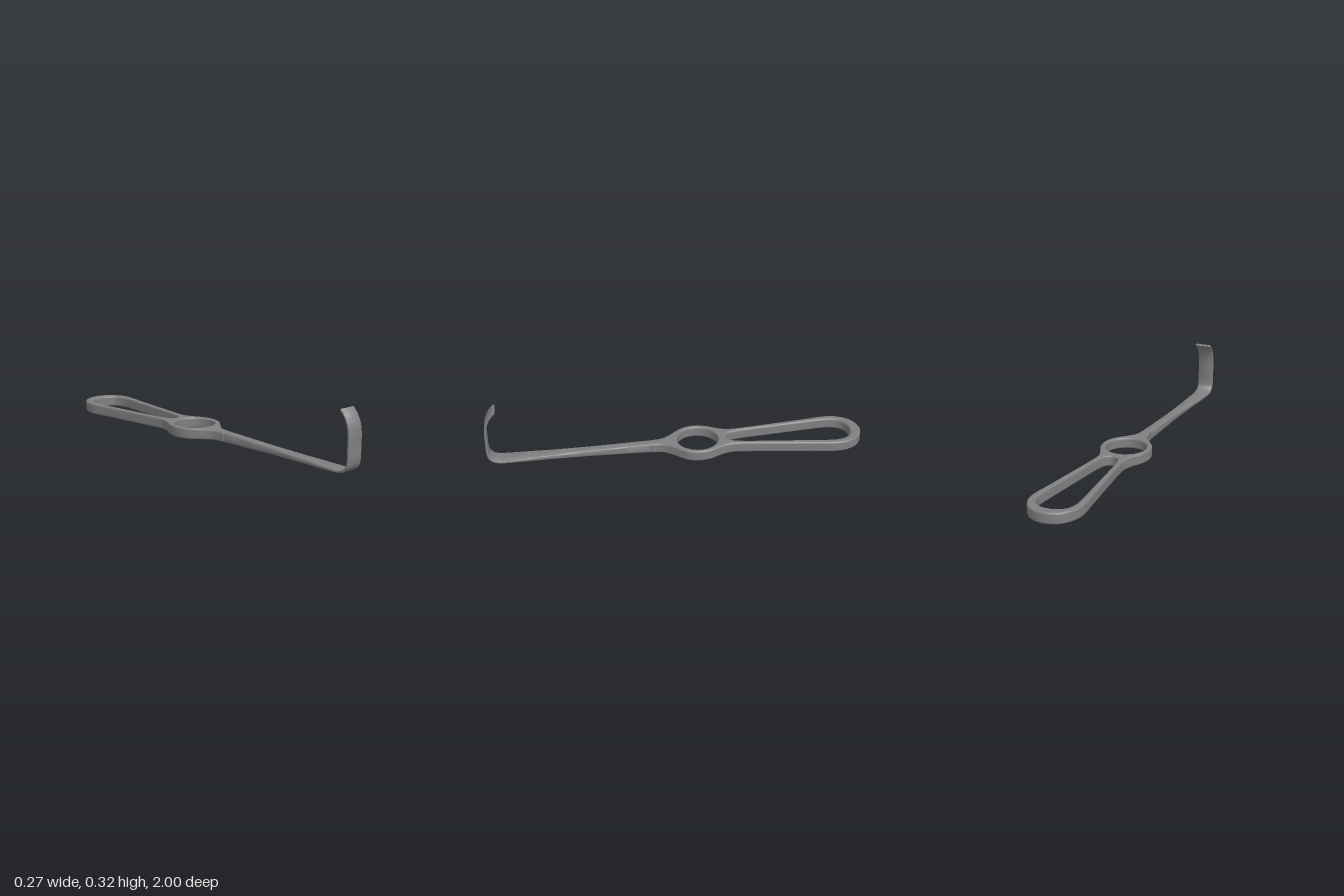
import * as THREE from 'three';
import { mergeVertices, toCreasedNormals } from 'three/addons/utils/BufferGeometryUtils.js';

// Dark steel
const material = new THREE.MeshStandardMaterial({ color: 0x808080 });

// Mirrors a right-hand half outline and smooths it into a symmetric contour
function outline(half, closed, count) {
  const left = half.filter(([x]) => x > 0).reverse().map(([x, y]) => [-x, y]);
  const points = [...half, ...left].map(([x, y]) => new THREE.Vector3(x, y, 0));
  const path = new THREE.CatmullRomCurve3(points, closed, 'centripetal').getPoints(count);
  if (closed) path.pop();
  return path.map(p => new THREE.Vector2(p.x, p.y));
}

// Shaft surfaces taper towards the blade
const topAt = z => 0.059 - 0.037 * Math.max(0, z);
const bottomAt = z => 0.011 * Math.max(0, z);

// Flat handle: teardrop loop and finger ring cut from one rounded plate
function handleGeometry() {
  const shape = new THREE.Shape(outline([
    [0.026, -0.14], [0.028, -0.1], [0.037, -0.065], [0.06, -0.03], [0.09, 0.005],
    [0.121, 0.05], [0.134, 0.11], [0.121, 0.175], [0.093, 0.23], [0.076, 0.285],
    [0.08, 0.36], [0.102, 0.55], [0.123, 0.72], [0.137, 0.84], [0.125, 0.91],
    [0.08, 0.973], [0, 1],
  ], false, 200));
  const loop = outline([
    [0, 0.265], [0.03, 0.28], [0.049, 0.34], [0.068, 0.5], [0.089, 0.7],
    [0.1, 0.81], [0.099, 0.86], [0.083, 0.905], [0.05, 0.933], [0, 0.943],
  ], true, 120);
  const ring = new THREE.Path().absellipse(0, 0.112, 0.107, 0.11, 0, Math.PI * 2, true);
  shape.holes.push(new THREE.Path(loop), ring);

  const bevel = 0.01, height = 0.059;
  const extrusion = new THREE.ExtrudeGeometry(shape, {
    depth: height - 2 * bevel, bevelThickness: bevel, bevelSize: bevel,
    bevelOffset: -bevel, bevelSegments: 4, curveSegments: 64,
  });
  extrusion.translate(0, 0, bevel);
  extrusion.rotateX(-Math.PI / 2);
  extrusion.deleteAttribute('normal');
  extrusion.deleteAttribute('uv');
  const geometry = mergeVertices(extrusion, 1e-5);
  const pos = geometry.attributes.position;
  for (let i = 0; i < pos.count; i++) {
    const z = pos.getZ(i), t = pos.getY(i) / height;
    pos.setY(i, THREE.MathUtils.lerp(bottomAt(z), topAt(z), t));
  }
  geometry.computeVertexNormals();
  return geometry;
}

// Rounded rectangle, counter-clockwise
function section(w, h) {
  const r = Math.min(0.009, h * 0.7), points = [];
  for (let corner = 0; corner < 4; corner++) {
    const sx = corner === 0 || corner === 3 ? 1 : -1, sy = corner < 2 ? 1 : -1;
    for (let k = 0; k <= 4; k++) {
      const a = (corner + k / 4) * Math.PI / 2;
      points.push([sx * (w - r) + r * Math.cos(a), sy * (h - r) + r * Math.sin(a)]);
    }
  }
  return points;
}

// Tapering shaft that bends up into a thin hooked blade
function shaftGeometry() {
  const shaft = [[0.06, 0.025], [0.2, 0.0245], [0.35, 0.0245], [0.5, 0.0255],
    [0.65, 0.031], [0.8, 0.038], [0.89, 0.042]].map(([z, w]) =>
    [z, (topAt(z) + bottomAt(z)) / 2, w, (topAt(z) - bottomAt(z)) / 2]);
  // Rows: z, y, half width, half thickness
  const blade = [
    [0.935, 0.0195, 0.044, 0.0065], [0.965, 0.029, 0.045, 0.006], [0.985, 0.049, 0.0455, 0.006],
    [0.993, 0.08, 0.046, 0.006], [0.994, 0.14, 0.046, 0.006], [0.994, 0.2, 0.046, 0.006],
    [0.9877, 0.2446, 0.046, 0.006], [0.9694, 0.2858, 0.046, 0.006], [0.942, 0.319, 0.046, 0.006],
  ];
  const rows = [...shaft, ...blade];
  const path = new THREE.CatmullRomCurve3(rows.map(r => new THREE.Vector3(0, r[1], r[0])));
  const size = new THREE.CatmullRomCurve3(
    rows.map(r => new THREE.Vector3(r[2], r[3], 0)), false, 'catmullrom', 0.5);
  const steps = 120, n = 20, position = [], index = [];
  for (let i = 0; i <= steps; i++) {
    const p = path.getPoint(i / steps), t = path.getTangent(i / steps), s = size.getPoint(i / steps);
    for (const [u, v] of section(s.x, s.y)) position.push(u, p.y + v * t.z, p.z - v * t.y);
  }
  for (let i = 0; i < steps; i++) {
    for (let j = 0; j < n; j++) {
      const a = i * n + j, b = i * n + (j + 1) % n;
      index.push(a, b, a + n, b, b + n, a + n);
    }
  }
  // End caps
  const last = steps * n;
  for (let j = 1; j < n - 1; j++) index.push(0, j + 1, j, last, last + j, last + j + 1);
  const geometry = new THREE.BufferGeometry();
  geometry.setAttribute('position', new THREE.Float32BufferAttribute(position, 3));
  geometry.setIndex(index);
  return toCreasedNormals(geometry, 0.6);
}

export function createModel() {
  const group = new THREE.Group();
  group.name = 'retractor';
  const add = (name, geometry) => {
    const mesh = new THREE.Mesh(geometry, material);
    mesh.name = name;
    group.add(mesh);
  };
  add('handleWithFingerRing', handleGeometry());
  add('shaftAndBlade', shaftGeometry());
  return group;
}
